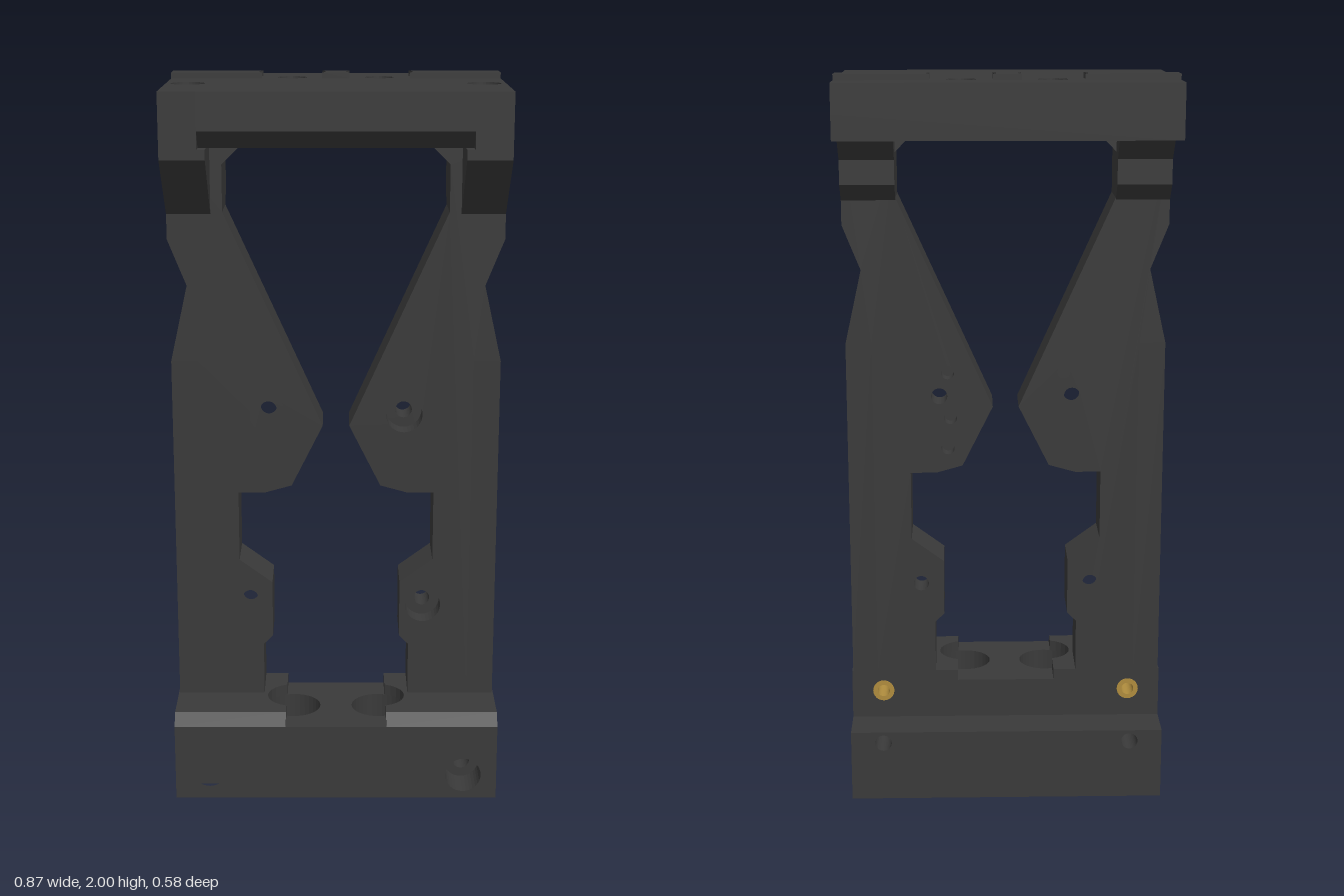
import * as THREE from 'three';

const dark = new THREE.MeshStandardMaterial({ color: 0x3a3a3a });
const steel = new THREE.MeshStandardMaterial({ color: 0xa0a0a0 });
const brass = new THREE.MeshStandardMaterial({ color: 0xb08d3e });

// Closed outline with round holes given as [x, y, radius]
function outline(points, holes = []) {
  const shape = new THREE.Shape(points.map(p => new THREE.Vector2(p[0], p[1])));
  for (const [x, y, r] of holes) {
    const path = new THREE.Path();
    path.absarc(x, y, r, 0, Math.PI * 2, true);
    shape.holes.push(path);
  }
  return shape;
}

const rect = (x0, y0, x1, y1) => [[x0, y0], [x1, y0], [x1, y1], [x0, y1]];

// Points on an arc, for concave cut-outs
function arc(cx, cy, r, a0, a1, n = 10) {
  return Array.from({ length: n + 1 }, (_, i) => {
    const a = a0 + (a1 - a0) * i / n;
    return [cx + r * Math.cos(a), cy + r * Math.sin(a)];
  });
}

export function createModel() {
  const model = new THREE.Group();

  // Extrude a shape along an axis from lo to hi.
  // Shape axes: z -> (x, y); y -> (x, z); x -> (z, y)
  function solid(name, shape, axis, lo, hi, material = dark) {
    const geo = new THREE.ExtrudeGeometry(shape, { depth: hi - lo, bevelEnabled: false, curveSegments: 16 });
    if (axis === 'z') geo.translate(0, 0, lo);
    if (axis === 'y') geo.rotateX(Math.PI / 2).translate(0, hi, 0);
    if (axis === 'x') geo.rotateY(-Math.PI / 2).translate(hi, 0, 0);
    const mesh = new THREE.Mesh(geo, material);
    mesh.name = name;
    model.add(mesh);
  }

  const W = 0.433;
  const boltX = 0.115;
  const sides = [1, -1];
  const flip = (s, pts) => pts.map(([x, ...rest]) => [s * x, ...rest]);
  // Extrude along x on the chosen side
  const sideSolid = (name, s, shape, a, b) =>
    solid(name, shape, 'x', Math.min(s * a, s * b), Math.max(s * a, s * b));

  // Upright jaws: stepped inner edge, waisted outer edge
  const jaw = [
    [0.36, 0.34], [0.36, 1.28], [0.43, 1.28], [0.385, 1.48], [W, 1.6], [W, 1.845],
    [0.235, 1.845], [0.29, 1.79], [0.29, 1.67], [0.035, 1.105], [0.118, 0.94], [0.19, 0.92],
    [0.26, 0.92], [0.26, 0.73], [0.172, 0.665], [0.172, 0.51], [0.197, 0.485], [0.197, 0.34],
  ];
  const through = [[0.18, 1.135, 0.022], [0.235, 0.6, 0.021]];
  const blind = [[0.157, 1.2, 0.018], [0.15, 1.075, 0.018], [0.157, 0.99, 0.018]];
  const sunk = through.map(([x, y]) => [x, y, 0.048]);
  for (const s of sides) {
    const layers = [[0, 0.04, [...through, ...blind]], [0.04, 0.08, through], [0.08, 0.135, sunk]];
    for (const [z0, z1, holes] of layers) {
      solid('jaw', outline(flip(s, jaw), flip(s, holes)), 'z', z0, z1);
    }
    const sideHoles = [[0.07, 1.135, 0.037], [0.07, 0.6, 0.037]];
    sideSolid('jawOuterEdge', s, outline(rect(0, 0.34, 0.135, 1.28), sideHoles), 0.36, 0.43);
  }

  // Base block: outer ends bored front to back
  for (const s of sides) {
    const bolt = r => [[s * 0.343, 0.168, r]];
    const end = (top, holes) => outline(rect(s * 0.27, 0.1, s * W, top), holes);
    solid('baseEnd', end(0.34, [...bolt(0.023), [s * 0.345, 0.28, 0.03]]), 'z', 0, 0.1);
    solid('baseEnd', end(0.34, bolt(0.023)), 'z', 0.1, 0.2);
    solid('baseEnd', end(0.34, bolt(0.048)), 'z', 0.2, 0.26);
    solid('baseEnd', end(0.31, bolt(0.048)), 'z', 0.26, 0.29);

    // Raised top with a bite around the bolt recess, and its front chamfer
    const bite = Math.acos(0.02 / 0.072);
    const cap = [[0.135, 0], [0.27, 0], [0.27, 0.26], [0.135, 0.26], ...arc(boltX, 0.15, 0.072, bite, -bite)];
    solid('baseCap', outline(flip(s, cap)), 'y', 0.31, 0.34);
    sideSolid('baseChamfer', s, outline([[0.26, 0.31], [0.29, 0.31], [0.26, 0.34]]), 0.135, W);

    // Threaded brass insert in the back
    solid('threadedInsert', outline(arc(s * 0.345, 0.28, 0.03, 0, Math.PI * 2, 24).slice(0, -1),
      [[s * 0.345, 0.28, 0.017]]), 'z', -0.002, 0.1, brass);
  }

  // Base block: centre bored vertically with wide recesses above
  const bores = (z, r) => sides.map(s => [s * boltX, z, r]);
  solid('baseCentre', outline(rect(-0.27, 0, 0.27, 0.29), bores(0.15, 0.038)), 'y', 0.1, 0.2);
  solid('baseCentre', outline(rect(-0.27, 0, 0.27, 0.29), bores(0.15, 0.072)), 'y', 0.2, 0.31);

  // Rear flange
  solid('rearFlange', outline(rect(-W, 0, W, 0.2), sides.map(s => [s * 0.343, 0.168, 0.023])), 'z', -0.11, 0);

  // Top plate
  const plate = rect(-W, -0.29, W, 0.25);
  const screws = sides.map(s => [s * 0.377, 0.048, 0.044]);
  solid('topPlate', outline(plate, bores(-0.148, 0.068)), 'y', 1.845, 1.91);
  solid('topPlate', outline(plate, [...bores(-0.148, 0.038), ...screws]), 'y', 1.91, 1.985);
  solid('topFrontLip', outline([[0.25, 1.845], [0.29, 1.89], [0.29, 1.985], [0.25, 1.985]]), 'x', -0.34, 0.34);

  // Gussets below the top plate
  for (const s of sides) {
    sideSolid('topFrontCorner', s, outline(rect(0.25, 1.845, 0.29, 1.985)), 0.34, W);
    sideSolid('frontGusset', s,
      outline([[0.135, 1.665], [0.29, 1.82], [0.29, 1.845], [0.135, 1.845]]), 0.32, W);
    sideSolid('rearGusset', s,
      outline([[0, 1.665], [0, 1.845], [-0.115, 1.845], [-0.045, 1.775], [-0.045, 1.71]]), 0.29, W);
  }

  // Alignment keys, hollowed around the bolt holes
  function keys(z, y0, y1) {
    const h = 0.039, r = 0.088, a = Math.asin(h / r);
    for (const s of sides) {
      const key = [[W, z - h], [W, z + h], ...arc(boltX, z, r, a, -a)];
      solid('alignmentKey', outline(flip(s, key)), 'y', y0, y1);
    }
    const centre = [
      ...arc(boltX, z, r, Math.PI + a, Math.PI - a),
      ...arc(-boltX, z, r, a, -a),
    ];
    solid('centreKey', outline(centre), 'y', y0, y1);
  }
  keys(-0.148, 1.985, 2);
  keys(0.15, 0.09, 0.1);

  // Socket head screws
  for (const s of sides) {
    const x = s * 0.377, z = 0.048;
    const disc = arc(x, z, 0.038, 0, Math.PI * 2, 24).slice(0, -1);
    const head = outline(disc);
    head.holes.push(new THREE.Path(
      arc(x, z, 0.021, Math.PI * 2, 0, 6).slice(0, -1).map(p => new THREE.Vector2(...p))));
    solid('screwBase', outline(disc), 'y', 1.905, 1.93, steel);
    solid('screwHead', head, 'y', 1.93, 1.968, steel);
  }

  return model;
}
